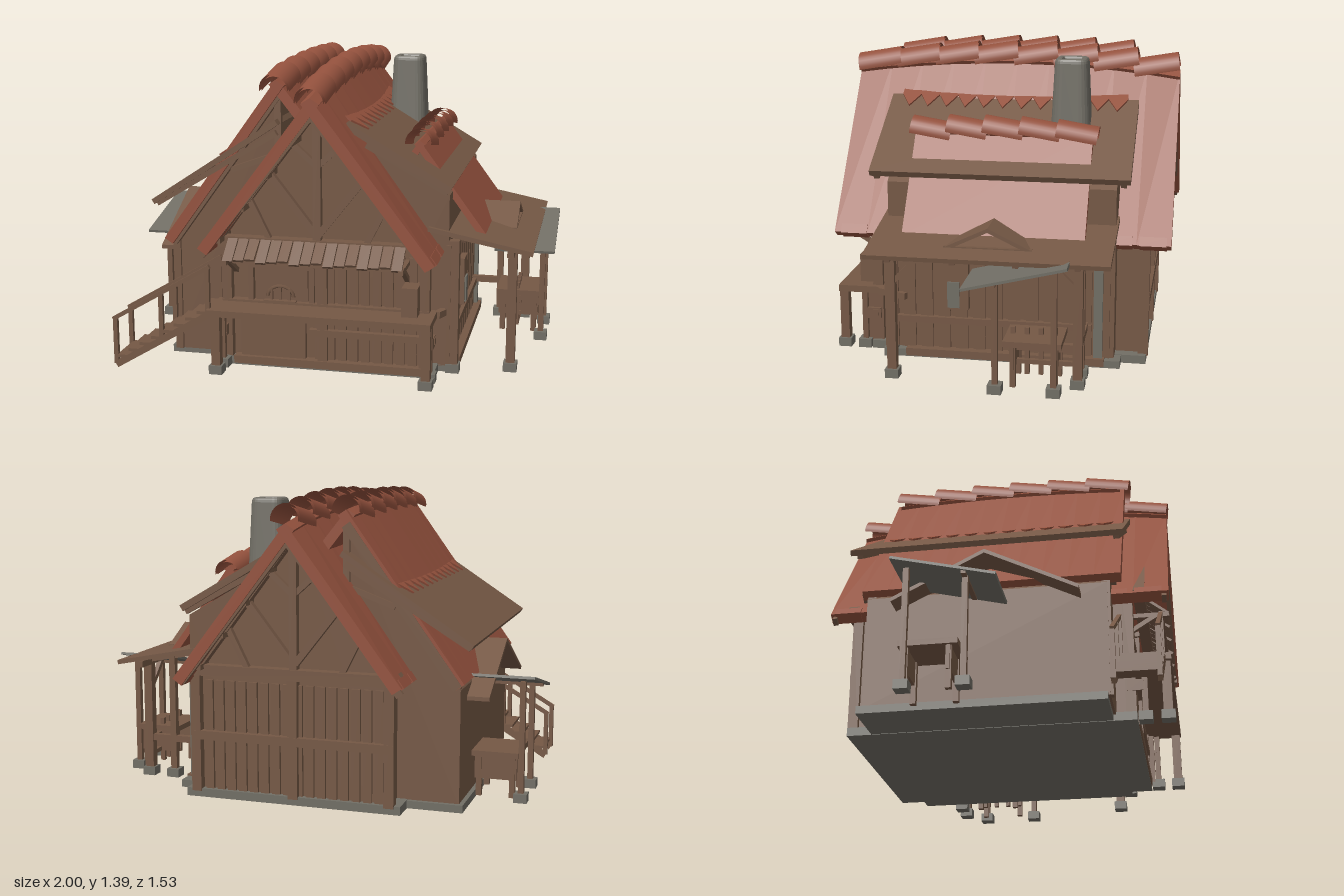
import * as THREE from 'three';

const mat = (name, color) => {
  const m = new THREE.MeshStandardMaterial({ color, side: THREE.DoubleSide });
  m.name = name;
  return m;
};

export function createModel() {
  const root = new THREE.Group();
  const wood = mat('timber brown', 0x755845);
  const tile = mat('clay red', 0x93513d);
  const stone = mat('stone grey', 0x716e65);

  const add = (name, geo, m) => {
    const mesh = new THREE.Mesh(geo, m);
    mesh.name = name;
    root.add(mesh);
    return mesh;
  };
  // Box given by its limits on each axis
  const box = (name, m, x0, x1, y0, y1, z0, z1) => {
    const b = add(name, new THREE.BoxGeometry(x1 - x0, y1 - y0, z1 - z0), m);
    b.position.set((x0 + x1) / 2, (y0 + y1) / 2, (z0 + z1) / 2);
  };
  // Square timber between two points
  const beam = (name, a, b, w = 0.025, h = w, m = wood) => {
    const p = new THREE.Vector3(...a), q = new THREE.Vector3(...b);
    const mesh = add(name, new THREE.BoxGeometry(w, h, p.distanceTo(q)), m);
    mesh.position.copy(p).add(q).multiplyScalar(0.5);
    mesh.lookAt(q);
  };
  // Polygon in the xy plane, extruded from z0 to z1
  const prism = (name, m, pts, z0, z1, steps = 1) => {
    const g = new THREE.ExtrudeGeometry(new THREE.Shape(pts.map(p => new THREE.Vector2(...p))),
      { depth: z1 - z0, steps, bevelEnabled: false });
    return add(name, g.translate(0, 0, z0), m);
  };
  // Sloping slab whose upper surface runs from a to b
  const slab = (name, m, a, b, z0, z1, t, steps) => {
    const d = new THREE.Vector2(b[0] - a[0], b[1] - a[1]).normalize();
    const s = d.x > 0 ? 1 : -1, nx = s * d.y * t, ny = -s * d.x * t;
    return prism(name, m, [a, b, [b[0] + nx, b[1] + ny], [a[0] + nx, a[1] + ny]], z0, z1, steps);
  };
  // Roof slab whose ridge dips toward both ends
  const sagSlab = (name, a, b, z0, z1, t, sag) => {
    const g = slab(name, tile, a, b, z0, z1, t, 10).geometry, p = g.attributes.position;
    for (let i = 0; i < p.count; i++) {
      const up = Math.max(0, (p.getY(i) - b[1]) / (a[1] - b[1]));
      p.setY(i, p.getY(i) - sag * up * (p.getZ(i) / 0.76) ** 2);
    }
    g.computeVertexNormals();
  };
  const post = (name, x, z, top, w = 0.03) => {
    box(name, wood, x - w / 2, x + w / 2, 0.04, top, z - w / 2, z + w / 2);
    box(name + 'Foot', stone, x - 0.03, x + 0.03, 0.015, 0.055, z - 0.03, z + 0.03);
  };

  // Foundation, sills and walls
  box('foundation', stone, -0.48, 0.52, 0.012, 0.05, -0.66, 0.6);
  box('wideFoundation', stone, -0.73, 0.6, 0.014, 0.048, -0.55, 0.5);
  box('frontSill', wood, -0.4, 0.46, 0.02, 0.055, 0.56, 0.606);
  box('sideSill', wood, 0.56, 0.606, 0.02, 0.055, -0.48, 0.42);
  prism('mainHouse', wood, [[-0.43, 0.04], [0.47, 0.04], [0.47, 0.6], [0, 1.22], [-0.43, 0.62]], -0.63, 0.56);
  prism('leftWing', wood, [[-0.71, 0.04], [-0.2, 0.04], [-0.2, 1.25], [-0.71, 0.55]], -0.53, 0.51);
  prism('rightWing', wood, [[0.2, 0.04], [0.56, 0.04], [0.56, 0.82], [0.2, 1.03]], -0.52, 0.5);

  // Planks, corner posts and roof truss on both gable ends
  for (const s of [1, -1]) {
    const zw = s > 0 ? 0.56 : -0.63, zt = s > 0 ? 0.63 : -0.66;
    const ends = [zw - s * 0.005, zw + s * 0.014];
    for (let i = 0; i < 16; i++) {
      const x = -0.4 + i * 0.053;
      if (s > 0 && x < -0.04) continue;
      box('gablePlank', wood, x, x + 0.038, 0.05, 0.55, Math.min(...ends), Math.max(...ends));
    }
    for (const x of [-0.43, 0.01, 0.47]) beam('gablePost', [x, 0.04, zw + s * 0.015], [x, 0.6, zw + s * 0.015], 0.045);
    beam('gableRail', [-0.45, 0.3, zw + s * 0.02], [0.49, 0.3, zw + s * 0.02], 0.04);
    beam('collarBeam', [-0.45, 0.6, zt], [0.48, 0.6, zt], 0.05);
    beam('kingPost', [0, 0.6, zt], [0, 1.2, zt], 0.035);
    for (const k of [1, -1]) {
      beam('rafter', [0, 1.22, zt], [k * 0.48, 0.59, zt], 0.05);
      beam('trussBrace', [0, 0.64, zt], [k * 0.22, 0.92, zt], 0.03);
      beam('trussStrut', [0, 0.95, zt], [k * 0.11, 1.05, zt], 0.025);
      beam('trussStrut', [k * 0.22, 0.62, zt], [k * 0.31, 0.8, zt], 0.025);
      beam('bargeBoard', [0, 1.19, s * 0.74], [k * 0.5, 0.555, s * 0.74], 0.02, 0.035);
      for (let i = 0; i < 4; i++) {
        const x = 0.1 + i * 0.11, y = 1.195 - x * 1.34;
        beam('purlin', [k * x, y, s * 0.5], [k * x, y, s * 0.72], 0.025);
      }
    }
    // Left wing gable
    const zl = s > 0 ? 0.525 : -0.53;
    beam('wingRafter', [-0.2, 1.25, zl], [-0.7, 0.56, zl], 0.045);
    beam('wingPost', [-0.2, 0.7, zl], [-0.2, 1.24, zl], 0.03);
    beam('wingBrace', [-0.2, 0.98, zl], [-0.42, 0.9, zl], 0.025);
    beam('wingStud', [-0.69, 0.04, zl - s * 0.02], [-0.69, 0.56, zl - s * 0.02], 0.035);
    // Rafters beneath the board roofs
    beam('boardRafter', [-0.76, 0.74, s * 0.56], [-0.2, 1.08, s * 0.56], 0.025);
    beam('boardRafter', [0.2, 1.04, s * 0.55], [0.56, 0.84, s * 0.55], 0.025);
  }

  // Red roof slabs
  sagSlab('mainRoofLeft', [0, 1.325], [-0.51, 0.59], -0.76, 0.76, 0.05, 0.06);
  sagSlab('mainRoofRight', [0, 1.325], [0.535, 0.57], -0.76, 0.76, 0.05, 0.06);
  sagSlab('wingRoofLeft', [-0.2, 1.335], [-0.73, 0.58], -0.55, 0.57, 0.045, 0.04);
  sagSlab('wingRoofRight', [-0.2, 1.335], [-0.06, 1.14], -0.53, 0.55, 0.045, 0.04);
  slab('sideRoofRight', tile, [0.41, 1.04], [0.72, 0.62], -0.4, 0.4, 0.03);
  slab('sideRoofLeft', tile, [0.41, 1.04], [0.25, 0.82], -0.4, 0.4, 0.03);
  // Tile ends along the eaves
  for (let i = 0; i < 10; i++) {
    const z = -0.74 + i * 0.15;
    slab('eaveTile', tile, [0.515, 0.604], [0.541, 0.568], z, z + 0.12, 0.052);
    slab('eaveTile', tile, [-0.49, 0.625], [-0.516, 0.588], z, z + 0.12, 0.052);
  }

  // Broad board roofs with a toothed row of tiles lying on them
  slab('boardRoofLeft', wood, [-0.78, 0.76], [-0.2, 1.14], -0.6, 0.59, 0.025);
  slab('boardRoofRight', wood, [0.12, 1.14], [0.58, 0.87], -0.58, 0.58, 0.03);
  const teeth = (name, x0, y0, x1, y1) => {
    const len = Math.hypot(x1 - x0, y1 - y0), sh = new THREE.Shape();
    sh.moveTo(0, -0.53);
    for (let i = 0; i <= 12; i++) {
      sh.lineTo(len * 0.3, -0.53 + i * 1.06 / 12);
      if (i < 12) sh.lineTo(len, -0.53 + (i + 0.5) * 1.06 / 12);
    }
    sh.lineTo(0, 0.53);
    const g = new THREE.ExtrudeGeometry(sh, { depth: 0.008, bevelEnabled: false });
    const m = add(name, g.rotateX(Math.PI / 2), tile);
    // The mirrored run is turned over, so its thickness rises instead of falling
    m.position.set(x0, y0 + (x1 > x0 ? 0.009 : 0.001), 0);
    m.rotation.z = Math.atan2(y1 - y0, x1 - x0);
  };
  teeth('toothedTilesLeft', -0.39, 1.016, -0.485, 0.953);
  teeth('toothedTilesRight', 0.1, 1.152, 0.2, 1.093);

  // Rounded ridge tiles, each tipped over the next
  const ridge = (name, x, y, z0, z1, n, tilt, r, sag) => {
    const step = (z1 - z0) / n;
    for (let i = 0; i < n; i++) {
      const z = z0 + (i + 0.5) * step;
      for (const k of [1, 0.85]) {
        const g = new THREE.CylinderGeometry(r * k, r * k, step * 1.12, 16, 1, true, Math.PI * 0.46, Math.PI * 1.08);
        const m = add(name, g.rotateX(Math.PI / 2), tile);
        m.position.set(x, y - sag * (z / 0.76) ** 2, z);
        m.rotation.x = tilt;
      }
    }
  };
  ridge('mainRidgeTile', 0, 1.306, -0.75, 0.75, 8, 0.17, 0.068, 0.055);
  ridge('wingRidgeTile', -0.2, 1.306, -0.53, 0.58, 6, 0.17, 0.068, 0.035);
  ridge('sideRidgeTile', 0.41, 1.03, -0.41, 0.41, 5, -0.16, 0.063, 0.06);

  // Tapered hollow chimney and its outside stone flue
  const rounded = (S, h, r) => {
    const s = new S();
    s.moveTo(-h + r, -h).lineTo(h - r, -h).quadraticCurveTo(h, -h, h, -h + r).lineTo(h, h - r)
      .quadraticCurveTo(h, h, h - r, h).lineTo(-h + r, h).quadraticCurveTo(-h, h, -h, h - r)
      .lineTo(-h, -h + r).quadraticCurveTo(-h, -h, -h + r, -h);
    return s;
  };
  const outline = rounded(THREE.Shape, 0.078, 0.035);
  outline.holes.push(rounded(THREE.Path, 0.064, 0.02));
  const flue = new THREE.ExtrudeGeometry(outline, { depth: 0.385, bevelEnabled: true, bevelSize: 0.015, bevelThickness: 0.02, bevelSegments: 3, curveSegments: 5 });
  flue.rotateX(-Math.PI / 2);
  const fp = flue.attributes.position;
  for (let i = 0; i < fp.count; i++) {
    const k = 1 - 0.7 * Math.max(0, fp.getY(i) - 0.1);
    fp.setXYZ(i, fp.getX(i) * k, fp.getY(i), fp.getZ(i) * k);
  }
  flue.computeVertexNormals();
  add('chimney', flue, stone).position.set(0.25, 0.943, -0.285);
  box('outsideFlue', stone, 0.54, 0.59, 0.05, 0.57, -0.47, -0.43);
  post('cornerPost', 0.585, 0.49, 0.62, 0.045);

  // Front deck with posts, skirting and awning
  box('deck', wood, -0.48, 0.52, 0.28, 0.31, 0.54, 0.755);
  for (const x of [-0.44, 0.5]) {
    post('deckPost', x, 0.73, 0.29, 0.04);
    post('deckInnerPost', x, 0.635, 0.29, 0.025);
    beam('deckBrace', [x, 0.18, 0.56], [x, 0.18, 0.63], 0.03, 0.05);
  }
  beam('deckSideRail', [0.58, 0.295, 0.42], [0.52, 0.295, 0.56], 0.03);
  box('deckSkirting', wood, 0.47, 0.5, 0.04, 0.29, 0.55, 0.62);
  box('serveCounter', wood, 0.38, 0.45, 0.31, 0.44, 0.56, 0.67);
  box('lowerRail', wood, -0.05, 0.52, 0.17, 0.2, 0.57, 0.6);
  for (let i = 0; i < 16; i++) {
    const x = -0.378 + i * 0.05, y = 0.535 + 0.006 * (i % 3);
    beam('awningBoard', [x, 0.615, 0.65], [x, y, 0.75], 0.045, 0.012);
  }
  beam('awningBeam', [-0.4, 0.535, 0.72], [0.4, 0.535, 0.72], 0.02);
  for (const x of [-0.39, 0.39]) {
    beam('awningBrace', [x, 0.45, 0.57], [x, 0.53, 0.7], 0.02);
    beam('awningArm', [x, 0.53, 0.56], [x, 0.53, 0.755], 0.02);
  }

  // Doors, with a small barred window in the upper one
  box('upperDoor', wood, -0.3, -0.06, 0.31, 0.47, 0.56, 0.575);
  box('doorLintel', wood, -0.33, -0.03, 0.47, 0.49, 0.56, 0.59);
  for (const x of [-0.32, -0.04]) box('doorJamb', wood, x - 0.012, x + 0.012, 0.31, 0.48, 0.56, 0.59);
  box('lowerDoor', wood, -0.37, -0.07, 0.05, 0.27, 0.56, 0.585);
  const arch = add('windowFrame', new THREE.TorusGeometry(0.06, 0.009, 4, 10, Math.PI), wood);
  arch.position.set(-0.185, 0.34, 0.578);
  arch.scale.y = 0.8;
  for (let i = -1; i <= 1; i++) box('windowBar', wood, -0.19 + i * 0.04, -0.18 + i * 0.04, 0.32, 0.38, 0.575, 0.585);
  box('windowSill', wood, -0.26, -0.11, 0.31, 0.325, 0.57, 0.6);

  // Side stairs with handrails
  for (let i = 0; i < 8; i++) {
    const x = -0.88 + i * 0.055, y = 0.05 + i * 0.033;
    box('stairTread', wood, x - 0.035, x + 0.035, y, y + 0.014, 0.53, 0.73);
  }
  for (const z of [0.54, 0.72]) {
    beam('stairStringer', [-0.92, 0.015, z], [-0.46, 0.29, z], 0.02, 0.03);
    beam('stairRail', [-0.93, 0.23, z], [-0.47, 0.5, z], 0.018);
    for (const [x, y] of [[-0.92, 0.02], [-0.7, 0.14], [-0.48, 0.28]]) beam('stairPost', [x, y, z], [x, y + 0.22, z], 0.02);
  }

  // Right porch: roof, small gable, posts and braces
  slab('porchRoof', wood, [0.47, 0.68], [0.93, 0.59], -0.53, 0.52, 0.02);
  beam('porchBeam', [0.83, 0.57, -0.5], [0.83, 0.57, 0.5], 0.03);
  for (const z of [0.42, 0.14, -0.13, -0.39]) {
    beam('porchRafter', [0.55, 0.63, z], [0.9, 0.565, z], 0.025);
    if (Math.abs(z) > 0.2) {
      post('porchPost', 0.835, z, 0.58, 0.04);
      beam('porchBrace', [0.83, 0.44, z], [0.83, 0.56, z - Math.sign(z) * 0.12], 0.022);
    }
  }
  // Railing at the rear of the porch
  post('rearPost', 0.71, -0.39, 0.6, 0.03);
  beam('porchTie', [0.56, 0.2, -0.39], [0.83, 0.2, -0.39], 0.03);
  beam('porchRail', [0.83, 0.19, -0.41], [0.83, 0.19, -0.1], 0.025, 0.035);
  beam('porchRail', [0.83, 0.12, -0.41], [0.83, 0.12, -0.1], 0.02);
  for (let i = 0; i < 4; i++) beam('porchSlat', [0.82, 0.06, -0.11 - i * 0.06], [0.82, 0.27, -0.11 - i * 0.06], 0.02);
  // Sloping halves of the small gables on either side
  for (const s of [1, -1]) {
    const half = (name, x0, x1, zE, yE) => {
      const g = prism(name, wood, s > 0 ? [[0, 0.7], [zE, yE], [zE, yE - 0.018], [0, 0.682]]
        : [[0, 0.7], [0, 0.682], [-zE, yE - 0.018], [-zE, yE]], 0, x1 - x0);
      g.rotation.y = Math.PI / 2;
      g.position.x = x0;
    };
    half('porchGable', 0.66, 0.83, 0.21, 0.6);
    half('leftGable', -0.81, -0.6, 0.4, 0.5);
  }
  beam('porchGableTie', [0.82, 0.605, -0.19], [0.82, 0.605, 0.19], 0.02);

  // Planks, rail and shutter on the right wall
  for (let i = 0; i < 13; i++) {
    const z = -0.5 + i * 0.08;
    box('wallPlank', wood, 0.55, 0.572, 0.05, 0.6, z, z + 0.055);
  }
  beam('wallRail', [0.575, 0.19, -0.42], [0.575, 0.19, 0.5], 0.03);
  box('shutterFrame', wood, 0.57, 0.6, 0.25, 0.47, 0.13, 0.24);
  box('shutterPanel', stone, 0.6, 0.608, 0.26, 0.38, 0.17, 0.225);

  // Canopied work tables on both sides
  for (const s of [1, -1]) {
    beam('canopy', [s * 0.86, 0.48, 0.085], [s * 0.86, 0.59, -0.36], 0.28, 0.012, stone);
    beam('canopyBeam', [s * 0.74, 0.505, -0.05], [s * 0.99, 0.505, -0.05], 0.02);
    post('canopyPost', s * 0.94, -0.05, 0.51, 0.025);
    post('canopyPost', s * 0.94, -0.3, 0.56, 0.025);
    beam('tableTop', [s * 0.825, 0.228, -0.33], [s * 0.825, 0.228, -0.08], 0.21, 0.025);
    for (const z of [-0.3, -0.12]) {
      beam('tableSide', [s * 0.73, 0.165, z], [s * 0.92, 0.165, z], 0.015, 0.11);
      for (const x of [0.75, 0.9]) beam('tableLeg', [s * x, 0.03, z], [s * x, 0.22, z], 0.025);
    }
  }
  return root;
}
